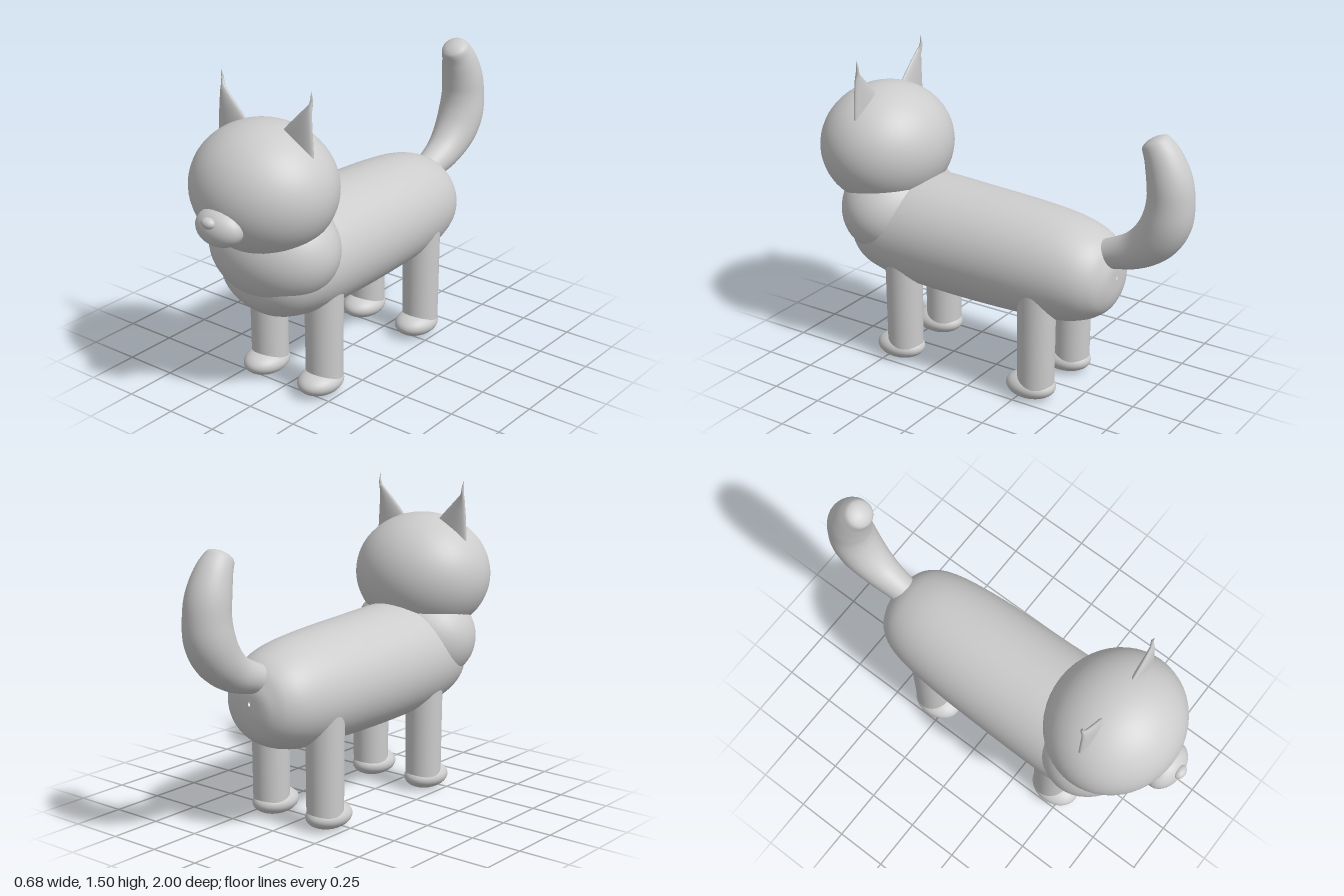
import * as THREE from 'three';

const V = (x, y, z) => new THREE.Vector3(x, y, z);

// Skin a list of elliptical rings {c, u, v}; u x v points along the loft
function loft(rings, sides) {
  const pos = [], index = [];
  for (const { c, u, v } of rings) {
    for (let j = 0; j < sides; j++) {
      const a = (j / sides) * Math.PI * 2;
      const p = c.clone().addScaledVector(u, Math.cos(a)).addScaledVector(v, Math.sin(a));
      pos.push(p.x, p.y, p.z);
    }
  }
  for (let i = 0; i < rings.length - 1; i++) {
    for (let j = 0; j < sides; j++) {
      const k = (j + 1) % sides, a = i * sides, b = a + sides;
      index.push(a + j, a + k, b + j, a + k, b + k, b + j);
    }
  }
  const g = new THREE.BufferGeometry();
  g.setAttribute('position', new THREE.Float32BufferAttribute(pos, 3));
  g.setIndex(index);
  g.computeVertexNormals();
  return g;
}

// Body: rows of z, top, bottom, half width
function bodyGeometry() {
  const rows = [
    [-0.645, 0.64, 0.62, 0.005], [-0.642, 0.69, 0.55, 0.08], [-0.625, 0.735, 0.49, 0.13],
    [-0.59, 0.79, 0.445, 0.18], [-0.52, 0.835, 0.405, 0.225], [-0.4, 0.87, 0.375, 0.255],
    [-0.2, 0.89, 0.365, 0.275], [0.1, 0.905, 0.36, 0.285], [0.4, 0.915, 0.37, 0.29],
    [0.55, 0.89, 0.395, 0.28], [0.65, 0.83, 0.43, 0.24], [0.72, 0.74, 0.5, 0.16],
    [0.745, 0.61, 0.59, 0.005],
  ];
  const path = new THREE.CatmullRomCurve3(rows.map(r => V(0, (r[1] + r[2]) / 2, r[0])), false, 'catmullrom');
  const size = new THREE.CatmullRomCurve3(rows.map(r => V(r[3], (r[1] - r[2]) / 2, 0)), false, 'catmullrom');
  const rings = [], n = 60;
  for (let i = 0; i <= n; i++) {
    const s = size.getPoint(i / n);
    rings.push({ c: path.getPoint(i / n), u: V(s.x, 0, 0), v: V(0, s.y, 0) });
  }
  return loft(rings, 48);
}

// Tail: rows of z, y, radius, swept along a curve and closed with a low dome
function tailGeometry() {
  const rows = [
    [-0.54, 0.725, 0.065], [-0.63, 0.75, 0.072], [-0.74, 0.795, 0.088], [-0.83, 0.87, 0.105],
    [-0.88, 0.96, 0.111], [-0.893, 1.06, 0.105], [-0.882, 1.15, 0.1],
    [-0.85, 1.24, 0.085], [-0.81, 1.305, 0.066],
  ];
  const path = new THREE.CatmullRomCurve3(rows.map(r => V(0, r[1], r[0])), false, 'catmullrom');
  const size = new THREE.CatmullRomCurve3(rows.map(r => V(r[2], 0, 0)), false, 'catmullrom');
  const rings = [], n = 40, X = V(1, 0, 0);
  const add = (c, t, r) => rings.push({
    c, u: X.clone().multiplyScalar(r), v: t.clone().cross(X).multiplyScalar(r),
  });
  for (let i = 0; i <= n; i++) add(path.getPoint(i / n), path.getTangent(i / n), size.getPoint(i / n).x);
  const end = path.getPoint(1), t = path.getTangent(1);
  for (const [h, r] of [[0.012, 0.058], [0.021, 0.04], [0.026, 0.02], [0.027, 0.001]]) {
    add(end.clone().addScaledVector(t, h), t, r);
  }
  return loft(rings, 32);
}

// Ear: flat tapering blade with a small curled tip
// rows: outer x, outer y, inner x, inner y, half thickness, z
function earGeometry(side) {
  const rows = [
    [0.268, 1.18, 0.075, 1.275, 0.021, 0.606],
    [0.264, 1.25, 0.13, 1.335, 0.019, 0.606],
    [0.258, 1.34, 0.185, 1.39, 0.015, 0.605],
    [0.253, 1.405, 0.226, 1.43, 0.01, 0.602],
    [0.252, 1.43, 0.238, 1.445, 0.009, 0.596],
    [0.253, 1.46, 0.243, 1.468, 0.006, 0.592],
    [0.25, 1.5, 0.248, 1.5, 0.001, 0.598],
  ];
  return loft(rows.map(([ox, oy, ix, iy, t, z]) => ({
    c: V(side * (ox + ix) / 2, (oy + iy) / 2, z),
    u: V((ox - ix) / 2, side * (oy - iy) / 2, 0),
    v: V(0, 0, -t),
  })), 24);
}

export function createModel() {
  const cat = new THREE.Group();
  cat.name = 'cat';
  const grey = new THREE.MeshStandardMaterial({ color: 0xcccccc });
  grey.name = 'light grey';

  const add = (name, geometry, x = 0, y = 0, z = 0) => {
    const mesh = new THREE.Mesh(geometry, grey);
    mesh.name = name;
    mesh.position.set(x, y, z);
    cat.add(mesh);
  };
  const ellipsoid = (rx, ry, rz) => new THREE.SphereGeometry(1, 48, 32).scale(rx, ry, rz);

  add('body', bodyGeometry());
  add('tail', tailGeometry());
  add('chest', ellipsoid(0.32, 0.25, 0.25), 0, 0.735, 0.56);
  add('head', ellipsoid(0.34, 0.295, 0.31), 0, 1.03, 0.62);
  add('muzzle', ellipsoid(0.12, 0.086, 0.08), 0, 0.935, 0.905);
  add('nose', ellipsoid(0.035, 0.025, 0.025), 0, 0.975, 0.975);

  for (const [s, label] of [[1, 'left'], [-1, 'right']]) {
    add(label + 'Ear', earGeometry(s));
    // Legs and paws
    for (const [end, z] of [['Front', 0.42], ['Back', -0.325]]) {
      add(label + end + 'Leg', new THREE.CylinderGeometry(0.09, 0.086, 0.52, 32), s * 0.163, 0.34, z);
      add(label + end + 'Paw', ellipsoid(0.096, 0.06, 0.123), s * 0.162, 0.064, z + 0.027);
    }
  }
  return cat;
}
